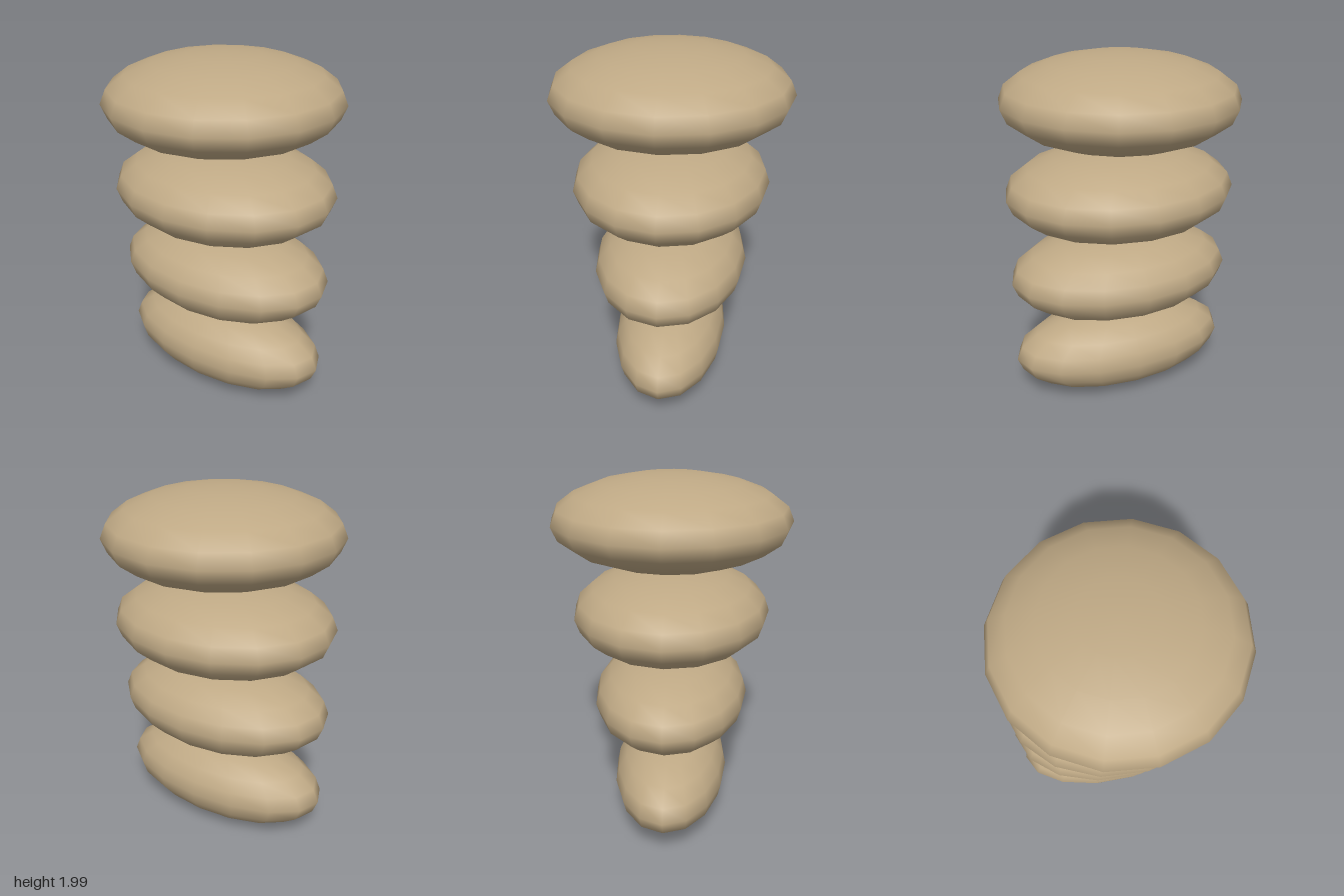
import * as THREE from 'three';

// A stack of four smooth pebbles that widen sideways towards the top
export function createModel() {
  const group = new THREE.Group();
  group.name = 'pebbleStack';
  const material = new THREE.MeshStandardMaterial({ color: 0xbfa985 });
  const pebble = new THREE.SphereGeometry(1, 16, 10);
  const names = ['bottomPebble', 'lowerPebble', 'upperPebble', 'topPebble'];

  names.forEach((name, i) => {
    const mesh = new THREE.Mesh(pebble, material);
    mesh.name = name;
    mesh.scale.set(0.33 + i * 0.1065, 0.246, 0.648);
    mesh.position.y = 0.255 + i * 0.4995;
    group.add(mesh);
  });
  return group;
}
